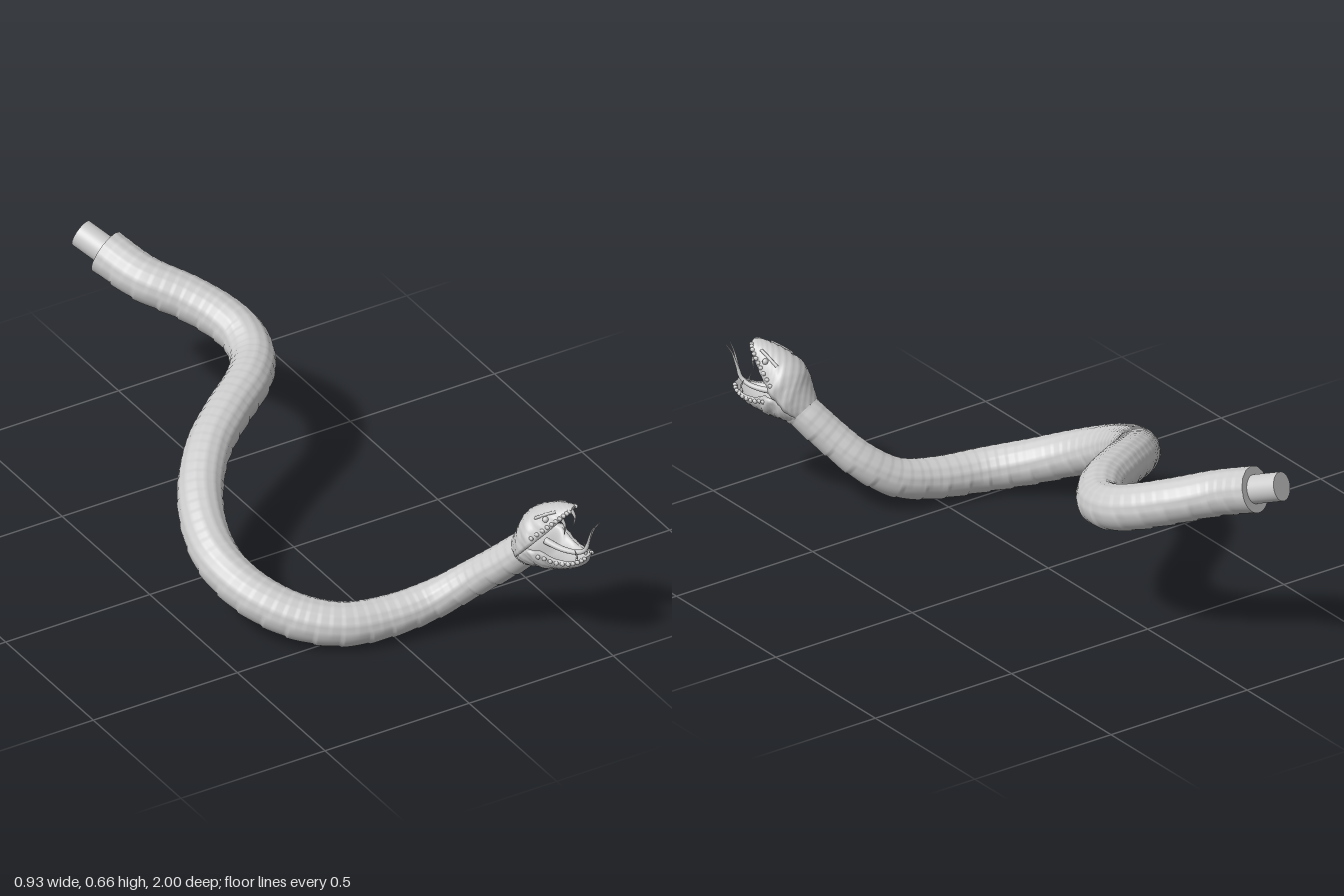
import * as THREE from 'three';

const V = (x, y, z) => new THREE.Vector3(x, y, z);
const material = new THREE.MeshStandardMaterial({ color: 0xcccccc });

function mesh(name, geometry, parent) {
  const m = new THREE.Mesh(geometry, material);
  m.name = name;
  parent.add(m);
  return m;
}

// Closed skin over a list of rings, with flat end caps
function loft(rings) {
  const n = rings[0].length, pos = [], idx = [];
  rings.forEach(r => r.forEach(p => pos.push(p.x, p.y, p.z)));
  for (let i = 0; i < rings.length - 1; i++) {
    for (let j = 0; j < n; j++) {
      const k = (j + 1) % n, a = i * n, b = a + n;
      idx.push(a + j, a + k, b + k, a + j, b + k, b + j);
    }
  }
  [rings[0], rings[rings.length - 1]].forEach((ring, end) => {
    const base = pos.length / 3, c = V(0, 0, 0);
    ring.forEach(p => { pos.push(p.x, p.y, p.z); c.addScaledVector(p, 1 / n); });
    pos.push(c.x, c.y, c.z);
    for (let j = 0; j < n; j++) {
      const k = (j + 1) % n;
      idx.push(base + n, base + (end ? j : k), base + (end ? k : j));
    }
  });
  const g = new THREE.BufferGeometry();
  g.setAttribute('position', new THREE.Float32BufferAttribute(pos, 3));
  g.setIndex(idx);
  g.computeVertexNormals();
  return g;
}

// Round tube along a curve whose radius follows radius(t, angle, length along curve)
function skinTube(curve, steps, sides, radius) {
  const rings = [], length = curve.getLength();
  for (let i = 0; i <= steps; i++) {
    const t = i / steps, c = curve.getPointAt(t), dir = curve.getTangentAt(t);
    const side = V(0, 1, 0).cross(dir).normalize(), up = dir.clone().cross(side);
    rings.push(Array.from({ length: sides }, (_, j) => {
      const a = j / sides * Math.PI * 2, r = radius(t, a, t * length);
      return c.clone().addScaledVector(side, r * Math.cos(a)).addScaledVector(up, r * Math.sin(a));
    }));
  }
  return loft(rings);
}

// Jaw from sections [lip z, lip y, crown z, crown y, half width, hollow depth]
function makeJaw(sections, sign) {
  const lip = new THREE.CatmullRomCurve3(sections.map(s => V(0, s[1], s[0])));
  const crown = new THREE.CatmullRomCurve3(sections.map(s => V(0, s[3], s[2])));
  const size = new THREE.CatmullRomCurve3(sections.map(s => V(s[4], s[5], 0)));
  const point = (t, a, width = 1, depth = 1) => {
    const p = lip.getPoint(t).lerp(crown.getPoint(t), depth * Math.sin(a));
    p.x = sign * width * size.getPoint(t).x * Math.cos(a);
    return p;
  };
  const rings = [], N = 24;
  for (let i = 0; i <= 48; i++) {
    const t = i / 48, hollow = Math.max(0, size.getPoint(t).y), ring = [];
    for (let j = 0; j <= N; j++) {
      const a = j / N * Math.PI;
      const bump = 1 + 0.02 * Math.cos(a * 12) * Math.cos(t * 75);
      ring.push(point(t, a, bump, bump));
    }
    for (let j = N; j >= 0; j--) ring.push(point(t, j / N * Math.PI, 0.86, hollow));
    rings.push(ring);
  }
  return { point, geometry: loft(rings) };
}

// Curved tapering spike, used for teeth and tongue tips
function spike(name, points, r0, r1, parent) {
  return mesh(name, skinTube(new THREE.CatmullRomCurve3(points), 14, 10,
    t => r0 + (r1 - r0) * t), parent);
}

function createBody(parent) {
  const path = new THREE.CatmullRomCurve3([
    [-0.11, 0.59, -0.89], [-0.055, 0.545, -0.77], [0.04, 0.5, -0.66], [0.1, 0.462, -0.565],
    [0.12, 0.437, -0.49], [0.1, 0.415, -0.4], [0.025, 0.408, -0.305], [-0.1, 0.39, -0.215],
    [-0.225, 0.355, -0.12], [-0.325, 0.297, 0], [-0.38, 0.237, 0.13], [-0.388, 0.192, 0.23],
    [-0.35, 0.14, 0.345], [-0.26, 0.092, 0.455], [-0.145, 0.07, 0.53], [0, 0.073, 0.565],
    [0.125, 0.1, 0.59], [0.215, 0.16, 0.637], [0.285, 0.24, 0.71], [0.33, 0.3, 0.763],
    [0.345, 0.32, 0.785]].map(p => V(...p)));
  path.arcLengthDivisions = 1200;
  const frac = v => v - Math.floor(v);

  // Broad overlapping belly plates below, rows of small scales above
  mesh('body', skinTube(path, 440, 56, (t, a, s) => {
    const base = 0.069 - 0.014 * THREE.MathUtils.smoothstep(t, 0.68, 0.95);
    const belly = THREE.MathUtils.smoothstep(-Math.sin(a), -0.25, 0.25);
    const plate = 0.06 * (0.5 - frac(s / 0.072));
    const row = s / 0.034;
    const scale = 0.025 * (0.5 - frac(row)) + 0.014 * Math.cos(a * 14);
    return base * (1 + belly * plate + (1 - belly) * scale);
  }), parent);

  // Joining peg at the cut end
  const from = V(-0.1, 0.583, -0.87), to = V(-0.147, 0.622, -0.973);
  const peg = mesh('peg', new THREE.CylinderGeometry(0.044, 0.044, from.distanceTo(to), 40), parent);
  peg.position.copy(from).lerp(to, 0.5);
  peg.quaternion.setFromUnitVectors(V(0, 1, 0), to.sub(from).normalize());
}

function createHead() {
  const head = new THREE.Group();
  head.name = 'head';
  head.position.set(0.335, 0.3, 0.77);
  head.rotation.y = THREE.MathUtils.degToRad(27);

  const upper = makeJaw([
    [0, 0.01, -0.035, 0.05, 0.056, 0], [0.02, 0.03, -0.012, 0.1, 0.075, 0],
    [0.05, 0.065, 0.005, 0.14, 0.085, 0.1], [0.08, 0.098, 0.043, 0.174, 0.08, 0.5],
    [0.115, 0.137, 0.085, 0.195, 0.065, 0.5], [0.14, 0.167, 0.12, 0.206, 0.048, 0.45],
    [0.16, 0.193, 0.15, 0.212, 0.031, 0.4], [0.168, 0.204, 0.166, 0.212, 0.012, 0.2]], 1);
  const lower = makeJaw([
    [0, 0.01, 0.035, -0.03, 0.056, 0], [0.02, 0.03, 0.055, -0.02, 0.075, 0],
    [0.05, 0.065, 0.088, -0.018, 0.085, 0.1], [0.09, 0.07, 0.122, -0.012, 0.08, 0.5],
    [0.135, 0.05, 0.155, -0.002, 0.066, 0.5], [0.178, 0.046, 0.19, 0.012, 0.05, 0.45],
    [0.208, 0.055, 0.215, 0.03, 0.034, 0.4], [0.224, 0.063, 0.224, 0.053, 0.014, 0.2]], -1);
  mesh('upperJaw', upper.geometry, head);
  mesh('lowerJaw', lower.geometry, head);

  // Lip scales along both jaws
  const bead = new THREE.SphereGeometry(1, 10, 8);
  for (const jaw of [upper, lower]) {
    for (let i = 0; i < 10; i++) {
      for (const mirror of [0, 1]) {
        const scale = mesh('lipScale', bead, head);
        scale.position.copy(jaw.point(0.42 + i * 0.058, mirror ? Math.PI - 0.2 : 0.2));
        scale.scale.set(0.005, 0.007, 0.008);
      }
    }
  }

  for (const side of [0, 1]) {
    const at = a => side ? Math.PI - a : a, sx = side ? -1 : 1;
    // Eye under a brow ridge
    const eye = mesh('eye', bead, head);
    eye.position.copy(upper.point(0.59, at(0.6)));
    eye.scale.setScalar(0.0095);
    mesh('brow', new THREE.TubeGeometry(new THREE.CatmullRomCurve3(
      [0.47, 0.55, 0.63, 0.72].map(t => upper.point(t, at(0.85)))), 16, 0.005, 8), head);

    // Long upper fang and short lower tooth
    spike('fang', [V(sx * 0.028, 0.187, 0.135), V(sx * 0.028, 0.158, 0.155),
      V(sx * 0.026, 0.122, 0.152)], 0.0075, 0.0008, head);
    spike('lowerTooth', [V(sx * 0.026, 0.04, 0.195), V(sx * 0.026, 0.062, 0.195),
      V(sx * 0.025, 0.08, 0.187)], 0.005, 0.0008, head);

    // Forked tongue tip
    spike('tongueTip', [V(0, 0.093, 0.217), V(sx * 0.004, 0.125, 0.226),
      V(sx * 0.007, 0.153, 0.236), V(sx * 0.013, 0.177, 0.252)], 0.005, 0.0012, head);
  }
  spike('tongue', [V(0, 0.06, 0.07), V(0, 0.05, 0.13), V(0, 0.057, 0.185),
    V(0, 0.075, 0.21), V(0, 0.098, 0.218)], 0.011, 0.006, head);
  return head;
}

export function createModel() {
  const model = new THREE.Group();
  model.name = 'snake';
  createBody(model);
  model.add(createHead());
  return model;
}
